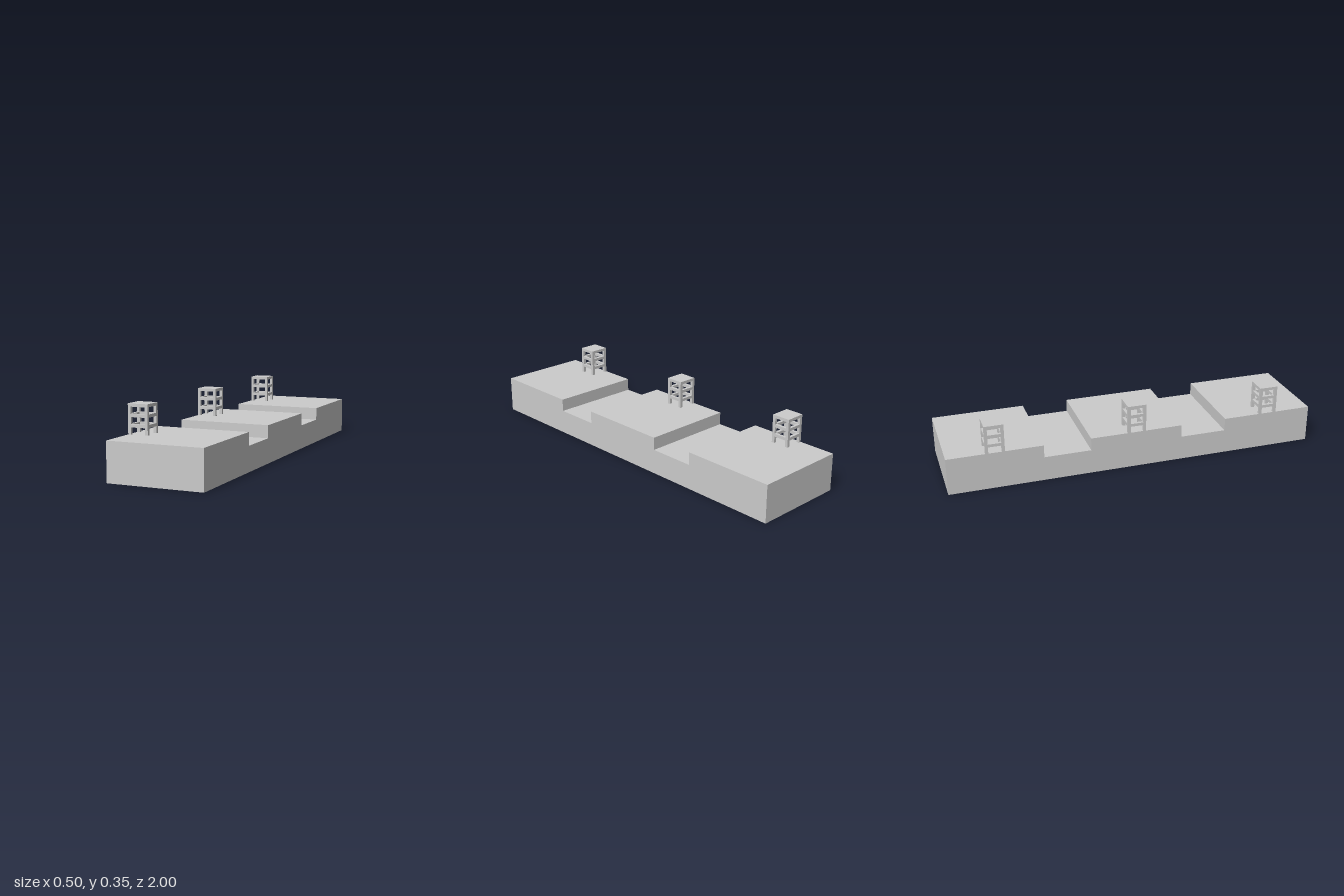
import * as THREE from 'three';

const material = new THREE.MeshStandardMaterial({ color: 0xcccccc, flatShading: true });

function addBox(parent, name, size, position) {
  const mesh = new THREE.Mesh(new THREE.BoxGeometry(...size), material);
  mesh.name = name;
  mesh.position.set(...position);
  parent.add(mesh);
}

// Long block with two shallow channels, extruded across x
function createPlatform() {
  const top = 0.2, channel = 0.132, width = 0.5;
  const profile = [
    [-1, 0], [1, 0], [1, top], [0.5, top], [0.5, channel], [0.25, channel], [0.25, top],
    [-0.25, top], [-0.25, channel], [-0.5, channel], [-0.5, top], [-1, top],
  ];
  const shape = new THREE.Shape(profile.map(([z, y]) => new THREE.Vector2(z, y)));
  const geometry = new THREE.ExtrudeGeometry(shape, { depth: width, bevelEnabled: false });
  geometry.translate(0, 0, -width / 2).rotateY(-Math.PI / 2);
  const mesh = new THREE.Mesh(geometry, material);
  mesh.name = 'platform';
  return mesh;
}

// Open frame tower: four posts, two rings of rails and a solid roof
function createTower() {
  const w = 0.107, d = 0.1, h = 0.15, t = 0.0155;
  const px = (w - t) / 2, pz = (d - t) / 2;
  const tower = new THREE.Group();
  tower.name = 'tower';
  addBox(tower, 'roof', [w, t, d], [0, h - t / 2, 0]);
  for (const sx of [-1, 1]) {
    for (const sz of [-1, 1]) {
      addBox(tower, 'post', [t, h - t, t], [sx * px, (h - t) / 2, sz * pz]);
    }
  }
  for (const railTop of [0.05, 0.1]) {
    for (const s of [-1, 1]) {
      addBox(tower, 'crossRail', [w - 2 * t, t, t], [0, railTop - t / 2, s * pz]);
      addBox(tower, 'sideRail', [t, t, d - 2 * t], [s * px, railTop - t / 2, 0]);
    }
  }
  return tower;
}

export function createModel() {
  const model = new THREE.Group();
  model.name = 'platformWithTowers';
  model.add(createPlatform());
  // One tower per raised section, flush with the -x edge
  for (const z of [-0.75, 0, 0.75]) {
    const tower = createTower();
    tower.position.set(-0.25 + 0.107 / 2, 0.2, z);
    model.add(tower);
  }
  return model;
}
